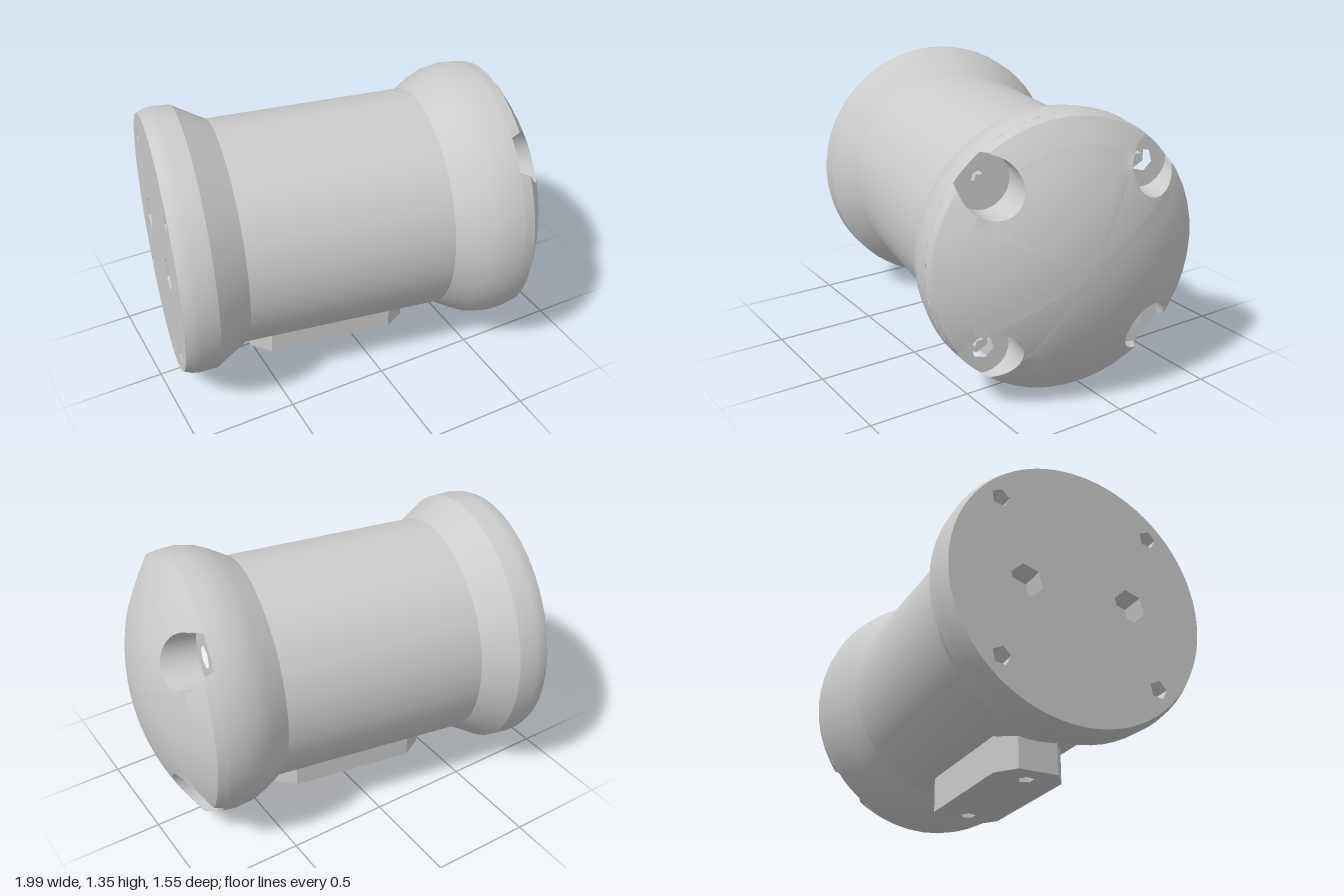
import * as THREE from 'three';
import { toCreasedNormals } from 'three/addons/utils/BufferGeometryUtils.js';

const RIM = 0.645, SHOULDER = 0.635; // dome edge radii
const FLOOR = 0.73; // axial height of the screw recess floors
const RC = 0.545, RR = 0.128; // recess centre distance and radius
const BACK = -0.9;

const grey = new THREE.MeshStandardMaterial({ color: 0xcccccc });
const greyDouble = new THREE.MeshStandardMaterial({ color: 0xcccccc, side: THREE.DoubleSide });

function add(parent, name, geometry, material = grey) {
  const mesh = new THREE.Mesh(geometry, material);
  mesh.name = name;
  parent.add(mesh);
  return mesh;
}

// Surface over a grid of points, fn(column, row) -> [x, y, z]
function grid(cols, rows, fn) {
  const pos = [], index = [];
  for (let i = 0; i <= cols; i++) {
    for (let j = 0; j <= rows; j++) {
      pos.push(...fn(i, j));
      if (i < cols && j < rows) {
        const a = i * (rows + 1) + j, b = a + rows + 1;
        index.push(a, a + 1, b + 1, a, b + 1, b);
      }
    }
  }
  const g = new THREE.BufferGeometry();
  g.setAttribute('position', new THREE.Float32BufferAttribute(pos, 3));
  g.setIndex(index);
  return toCreasedNormals(g, 0.5);
}

// Turned part along local z from [radius, z] pairs
function turned(profile) {
  const pts = profile.map(([r, z]) => new THREE.Vector2(r, z));
  return toCreasedNormals(new THREE.LatheGeometry(pts, 64).rotateX(Math.PI / 2), 0.42);
}

function polygonHole(x, y, r, sides, turn = 0) {
  const pts = [];
  for (let i = 0; i < sides; i++) {
    const a = turn - (i / sides) * Math.PI * 2;
    pts.push(new THREE.Vector2(x + r * Math.cos(a), y + r * Math.sin(a)));
  }
  return new THREE.Path(pts);
}

function extrude(shape, depth) {
  return new THREE.ExtrudeGeometry(shape, { depth, bevelEnabled: false, curveSegments: 64 });
}

// Axial height of the dome at radius r
function domeHeight(r) {
  if (r <= SHOULDER) return -0.05 + Math.sqrt(1.045 * 1.045 - r * r);
  return THREE.MathUtils.lerp(domeHeight(SHOULDER), FLOOR, Math.min(1, (r - SHOULDER) / (RIM - SHOULDER)));
}

// Columns around the dome: near and far are where each ray enters and leaves a recess
function domeColumns() {
  const cols = [], tangent = Math.asin(RR / RC), n = 8;
  for (let q = 0; q < 4; q++) {
    const mid = Math.PI / 4 + q * Math.PI / 2;
    for (let k = -n; k <= n; k++) {
      const d = tangent * Math.sin((k / n) * Math.PI / 2);
      const half = Math.sqrt(Math.max(0, RR * RR - (RC * Math.sin(d)) ** 2));
      const c = RC * Math.cos(d);
      cols.push({ a: mid + d, near: c - half, far: Math.min(RIM, c + half) });
    }
    for (let k = 1; k < n; k++) {
      const a = mid + tangent + (k / n) * (Math.PI / 2 - 2 * tangent);
      cols.push({ a, near: RC * Math.cos(tangent), far: RC * Math.cos(tangent) });
    }
  }
  cols.push({ ...cols[0], a: cols[0].a + Math.PI * 2 });
  return cols;
}

function buildDome(parent) {
  const cols = domeColumns();
  const point = (a, r) => [r * Math.cos(a), r * Math.sin(a), domeHeight(r)];
  add(parent, 'domeCentre', grid(cols.length - 1, 8, (i, j) => point(cols[i].a, cols[i].near * j / 8)));
  add(parent, 'domeRim', grid(cols.length - 1, 5, (i, j) => {
    const { a, far } = cols[i];
    const r = j === 5 ? RIM : far + (Math.max(far, SHOULDER) - far) * j / 4;
    return point(a, r);
  }));

  // Four screw recesses, open towards the rim
  for (let q = 0; q < 4; q++) {
    const part = cols.slice(q * 24, q * 24 + 17);
    const ring = part.map(c => [c.a, c.near]);
    for (let k = 15; k > 0; k--) ring.push([part[k].a, part[k].far]);
    const xy = ring.map(([a, r]) => new THREE.Vector2(r * Math.cos(a), r * Math.sin(a)));
    const mid = Math.PI / 4 + q * Math.PI / 2;
    const x = RC * Math.cos(mid), y = RC * Math.sin(mid);

    const recess = new THREE.Group();
    recess.name = 'screwRecess';
    parent.add(recess);
    add(recess, 'recessWall', grid(ring.length, 1, (i, j) => {
      const k = i % ring.length;
      return [xy[k].x, xy[k].y, j ? domeHeight(ring[k][1]) : FLOOR];
    }), greyDouble);

    const floor = new THREE.Shape(xy);
    floor.holes.push(polygonHole(x, y, 0.055, 6, mid));
    add(recess, 'recessFloor', extrude(floor, 0.08).translate(0, 0, FLOOR - 0.08));
    const base = new THREE.CylinderGeometry(0.06, 0.06, 0.02, 6).rotateX(Math.PI / 2);
    add(recess, 'socketBottom', base.translate(x, y, FLOOR - 0.08));
    const screw = new THREE.CylinderGeometry(0.026, 0.03, 0.05, 5).rotateX(Math.PI / 2);
    add(recess, 'screw', toCreasedNormals(screw.translate(x, y, FLOOR - 0.05), 0.3));
  }
}

function buildBackPlate(parent) {
  const plate = new THREE.Shape().absarc(0, 0, 0.63, 0, Math.PI * 2);
  for (const sx of [-1, 1]) {
    for (const sy of [-1, 1]) plate.holes.push(polygonHole(sx * 0.385, sy * 0.385, 0.045, 5, 0.5));
    plate.holes.push(polygonHole(sx * 0.26, 0, 0.08, 6, 0.3));
  }
  add(parent, 'backPlate', extrude(plate, 0.12).translate(0, 0, BACK));
  const bottom = new THREE.CircleGeometry(0.62, 32).translate(0, 0, BACK + 0.12);
  add(parent, 'holeBottoms', bottom, greyDouble);
}

// Elongated foot with chamfered corners and two screw holes underneath
function buildFoot(parent) {
  const w = 0.174, l = 0.418, cw = 0.075, cl = 0.098;
  const corners = [[w, -l + cl], [w, l - cl], [w - cw, l], [-w + cw, l],
    [-w, l - cl], [-w, -l + cl], [-w + cw, -l], [w - cw, -l]];
  const shape = new THREE.Shape(corners.map(([x, y]) => new THREE.Vector2(x, y)));
  for (const s of [-1, 1]) shape.holes.push(polygonHole(0, s * 0.3, 0.038, 5));
  const foot = new THREE.Group();
  foot.name = 'foot';
  foot.position.set(0, -0.697, -0.084);
  parent.add(foot);
  add(foot, 'footBlock', extrude(shape, 0.22).rotateX(-Math.PI / 2));
  for (const s of [-1, 1]) {
    add(foot, 'footHoleBottom', new THREE.CylinderGeometry(0.045, 0.045, 0.02, 5).translate(0, 0.08, s * 0.3));
  }
}

export function createModel() {
  const model = new THREE.Group();
  model.name = 'capsule';

  // Housing lies along local z, turned slightly from the x axis
  const housing = new THREE.Group();
  housing.name = 'housing';
  housing.position.set(0, 0.697, 0.006);
  housing.rotation.y = THREE.MathUtils.degToRad(80);
  model.add(housing);

  add(housing, 'body', turned([[0.553, -0.582], [0.553, 0.415]]));
  add(housing, 'backCap', turned([[0.63, BACK], [0.645, -0.865], [0.65, -0.83], [0.645, -0.74], [0.61, -0.68], [0.553, -0.582]]));
  add(housing, 'frontCap', turned([[0.553, 0.415], [0.605, 0.505], [0.635, 0.57], [0.65, 0.66], [RIM, FLOOR]]));
  buildDome(housing);
  buildBackPlate(housing);
  buildFoot(housing);
  return model;
}
